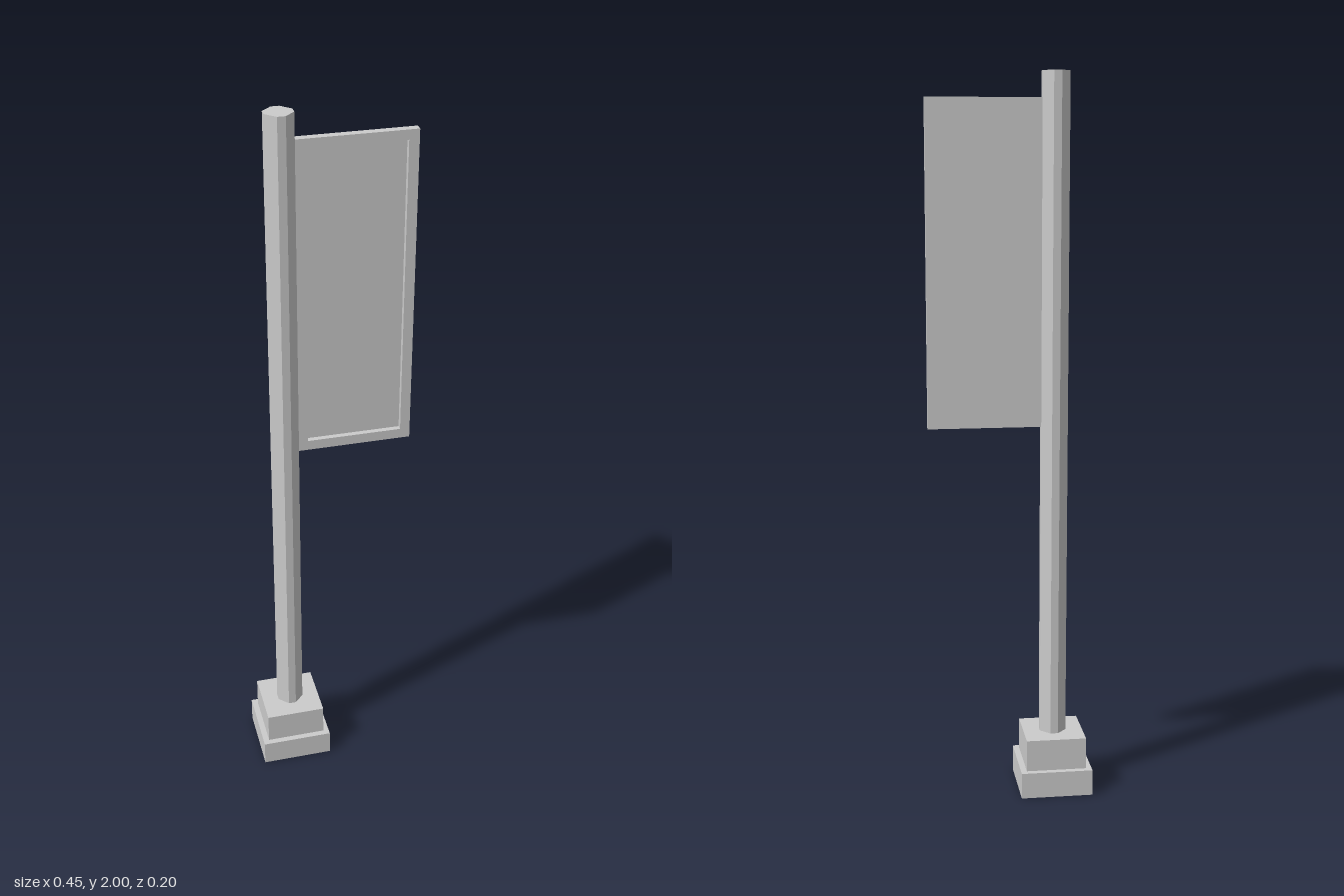
import * as THREE from 'three';

const POLE_X = -0.124;

export function createModel() {
  const group = new THREE.Group();
  const material = new THREE.MeshStandardMaterial({ color: 0xcccccc, flatShading: true });

  const add = (name, geometry, x, y, z) => {
    const mesh = new THREE.Mesh(geometry, material);
    mesh.name = name;
    mesh.position.set(x, y, z);
    group.add(mesh);
    return mesh;
  };
  const extrude = (shape, depth) =>
    new THREE.ExtrudeGeometry(shape, { depth, bevelEnabled: false });
  const rectangle = (Type, x0, y0, x1, y1) =>
    new Type([[x0, y0], [x1, y0], [x1, y1], [x0, y1]].map(([x, y]) => new THREE.Vector2(x, y)));

  // Two stepped square blocks of the foot
  add('lowerBase', new THREE.BoxGeometry(0.202, 0.074, 0.202), POLE_X, 0.037, 0);
  add('upperBase', new THREE.BoxGeometry(0.169, 0.09, 0.169), POLE_X, 0.119, 0);

  // Pole: a square with wide chamfers, extruded upward
  const r = 0.037, f = 0.0107;
  const outline = [[r, -f], [r, f], [f, r], [-f, r], [-r, f], [-r, -f], [-f, -r], [f, -r]];
  const section = new THREE.Shape(outline.map(([x, y]) => new THREE.Vector2(x, y)));
  add('pole', extrude(section, 1.836).rotateX(-Math.PI / 2), POLE_X, 0.164, 0);

  // Sign: a thin back panel with a raised frame on its front
  const left = POLE_X + r, right = 0.225, bottom = 1.05, top = 1.931;
  const half = 0.0107, backing = 0.0065;
  const panel = rectangle(THREE.Shape, left, bottom, right, top);
  add('signPanel', extrude(panel, backing), 0, 0, -half);

  const frame = rectangle(THREE.Shape, left, bottom, right, top);
  frame.holes.push(rectangle(THREE.Path, -0.062, 1.078, 0.198, 1.905));
  add('signFrame', extrude(frame, 2 * half - backing), 0, 0, backing - half);

  return group;
}
